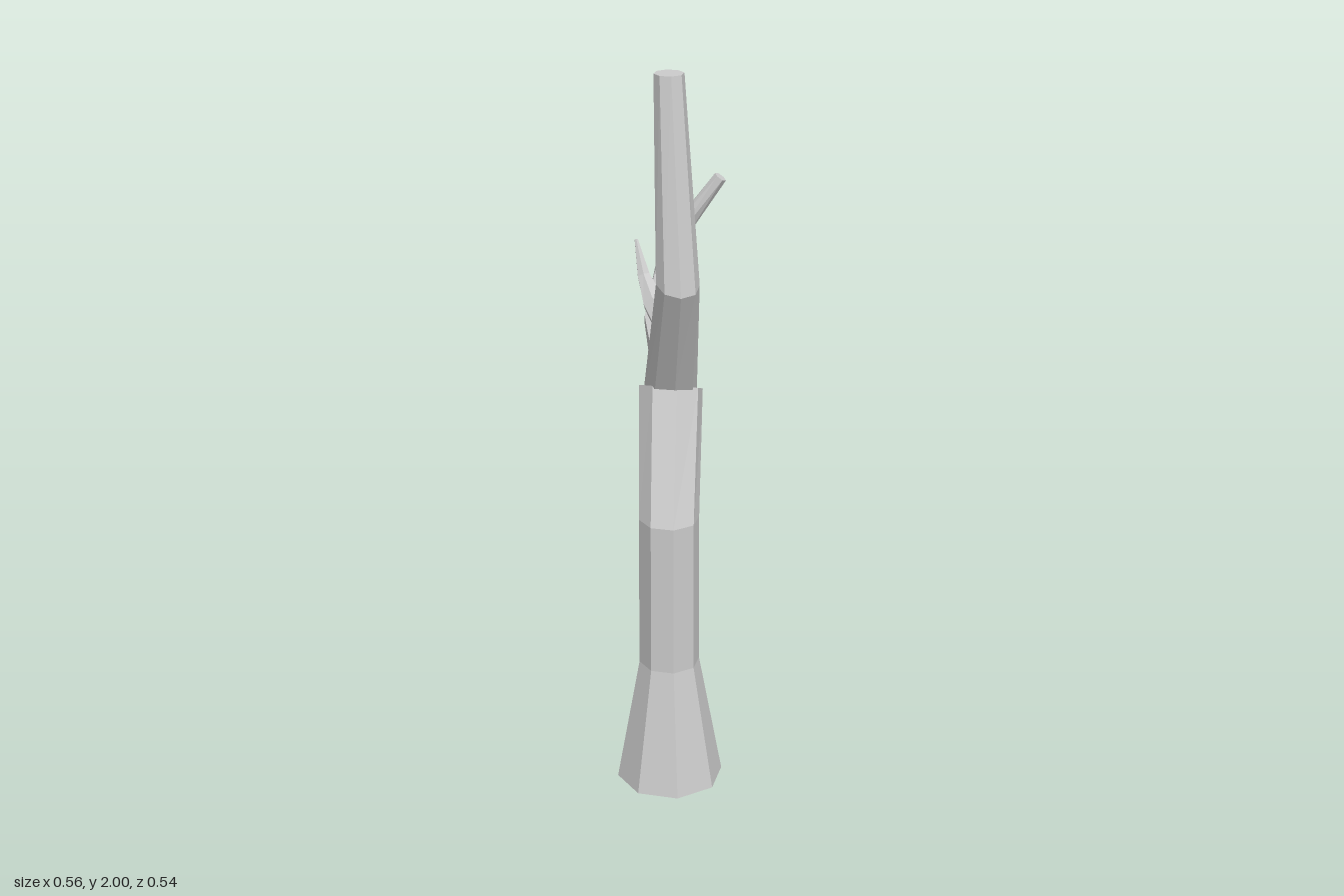
import * as THREE from 'three';

const material = new THREE.MeshStandardMaterial({ color: 0xcccccc, flatShading: true });

// Faceted limb through rings { p: centre, r: radius, n: optional ring normal }, capped at both ends.
// ref fixes where the first corner of each ring points, so the facets run straight.
function limb(name, sides, phaseDegrees, ref, rings) {
  const centres = rings.map((ring) => new THREE.Vector3(...ring.p));
  const loops = rings.map((ring, k) => {
    const n = new THREE.Vector3();
    if (ring.n) n.set(...ring.n);
    else {
      if (k > 0) n.add(centres[k].clone().sub(centres[k - 1]).normalize());
      if (k < rings.length - 1) n.add(centres[k + 1].clone().sub(centres[k]).normalize());
    }
    n.normalize();
    const u = new THREE.Vector3(...ref).projectOnPlane(n).normalize();
    const w = u.clone().cross(n);
    return Array.from({ length: sides }, (_, i) => {
      const a = THREE.MathUtils.degToRad(phaseDegrees) + (i / sides) * Math.PI * 2;
      return centres[k].clone()
        .addScaledVector(u, ring.r * Math.cos(a))
        .addScaledVector(w, ring.r * Math.sin(a));
    });
  });

  const points = [];
  const last = loops.length - 1;
  for (let i = 0; i < sides; i++) {
    const j = (i + 1) % sides;
    for (let k = 0; k < last; k++) {
      const b = loops[k], t = loops[k + 1];
      points.push(b[j], b[i], t[i], b[j], t[i], t[j]);
    }
    points.push(centres[0], loops[0][i], loops[0][j]);
    points.push(centres[last], loops[last][j], loops[last][i]);
  }
  const geometry = new THREE.BufferGeometry().setFromPoints(points);
  geometry.computeVertexNormals();
  const mesh = new THREE.Mesh(geometry, material);
  mesh.name = name;
  return mesh;
}

export function createModel() {
  const group = new THREE.Group();
  group.name = 'bareTree';
  const up = [0, 1, 0];

  // Flared foot, straight bole and the leaning stretch up to the fork
  group.add(limb('lowerTrunk', 8, -18, [1, 0, 0], [
    { p: [0.14, 0, 0.13], r: 0.147, n: up },
    { p: [0.137, 0.355, 0.129], r: 0.083, n: up },
    { p: [0.137, 0.785, 0.129], r: 0.082, n: up },
    { p: [0.022, 1.107, 0.041], r: 0.088, n: [-0.3, 1, -0.28] },
  ]));

  // Main stem above the fork
  group.add(limb('upperTrunk', 8, -18, [1, 0, 0], [
    { p: [0.036, 1.112, 0.052], r: 0.072, n: [-0.2, 1, -0.2] },
    { p: [0.196, 1.465, 0.142], r: 0.057, n: [0.38, 1, 0.1] },
    { p: [0.14, 2, 0.129], r: 0.039, n: up },
  ]));

  // Long crooked branch on the model's right
  group.add(limb('sideBranch', 6, 0, [0, 1, 0], [
    { p: [0.03, 1.13, 0.04], r: 0.07 },
    { p: [-0.03, 1.148, 0.008], r: 0.056 },
    { p: [-0.17, 1.225, -0.05], r: 0.041 },
    { p: [-0.254, 1.402, -0.152], r: 0.03 },
    { p: [-0.156, 1.602, -0.253], r: 0.018 },
  ]));

  // Small pointed twig curving up from the main stem
  group.add(limb('twig', 6, 0, [0, 0, 1], [
    { p: [0.125, 1.325, 0.108], r: 0.052 },
    { p: [0.04, 1.368, 0.11], r: 0.031 },
    { p: [-0.01, 1.428, 0.106], r: 0.018 },
    { p: [-0.046, 1.517, 0.104], r: 0.005 },
  ]));

  return group;
}
